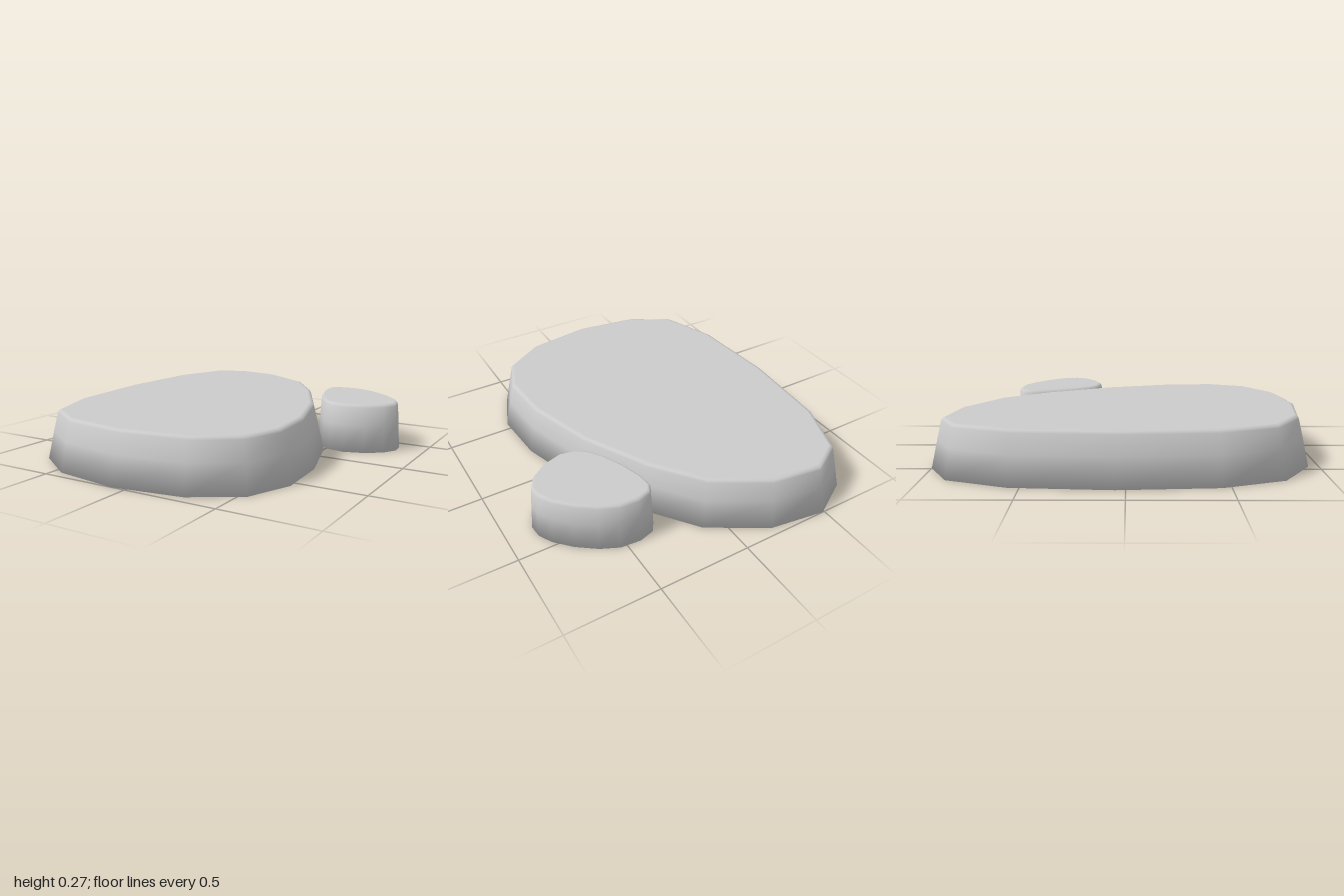
import * as THREE from 'three';

const material = new THREE.MeshStandardMaterial({ color: 0xcccccc });

// Footprints as [x, z], clockwise seen from above
const largeOutline = [
  [-0.49, -1], [-0.19, -0.955], [0.11, -0.775], [0.31, -0.51], [0.5, -0.14], [0.615, 0.24],
  [0.635, 0.55], [0.54, 0.79], [0.295, 0.945], [-0.08, 1], [-0.45, 0.945], [-0.7, 0.78],
  [-0.82, 0.455], [-0.855, -0.05], [-0.82, -0.56], [-0.7, -0.88],
];
const smallOutline = [
  [0.305, -0.61], [0.34, -0.665], [0.425, -0.69], [0.535, -0.68], [0.63, -0.635], [0.73, -0.56],
  [0.81, -0.475], [0.85, -0.4], [0.855, -0.33], [0.81, -0.25], [0.72, -0.185], [0.61, -0.15],
  [0.52, -0.165], [0.46, -0.205], [0.4, -0.29], [0.345, -0.41], [0.31, -0.53],
];

// Flat stepping stone: tapered wall, softly rounded top edge, flat top and base.
// Each ring is [inset, height, outward part of normal, upward part of normal].
function stone(name, outline, rings) {
  const n = outline.length;
  const position = [], normal = [], index = [];
  const outward = outline.map((p, i) => {
    const a = outline[(i + n - 1) % n], b = outline[(i + 1) % n];
    return new THREE.Vector2(b[1] - a[1], a[0] - b[0]).normalize();
  });
  rings.forEach(([inset, y, out, up], r) => {
    outline.forEach(([x, z], i) => {
      const o = outward[i];
      position.push(x - o.x * inset, y, z - o.y * inset);
      normal.push(...new THREE.Vector3(o.x * out, up, o.y * out).normalize().toArray());
      if (r === 0) return;
      const j = (i + 1) % n, low = (r - 1) * n, high = r * n;
      index.push(low + j, low + i, high + i, low + j, high + i, high + j);
    });
  });
  // Base and top faces
  const top = (rings.length - 1) * n;
  for (let i = 1; i < n - 1; i++) {
    index.push(0, i, i + 1, top, top + i + 1, top + i);
  }
  const geometry = new THREE.BufferGeometry();
  geometry.setAttribute('position', new THREE.Float32BufferAttribute(position, 3));
  geometry.setAttribute('normal', new THREE.Float32BufferAttribute(normal, 3));
  geometry.setIndex(index);
  const mesh = new THREE.Mesh(geometry, material);
  mesh.name = name;
  return mesh;
}

export function createModel() {
  const group = new THREE.Group();
  group.name = 'steppingStones';
  group.add(
    stone('largeStone', largeOutline, [
      [0, 0, 0.8, -0.6], [0.035, 0.15, 1, 0.2], [0.06, 0.25, 0.9, 0.4], [0.066, 0.263, 0.6, 0.8], [0.085, 0.27, 0, 1],
    ]),
    stone('smallStone', smallOutline, [
      [0, 0, 0.8, -0.6], [0.01, 0.15, 1, 0.08], [0.017, 0.25, 0.9, 0.4], [0.022, 0.263, 0.6, 0.8], [0.035, 0.27, 0, 1],
    ]),
  );
  return group;
}
